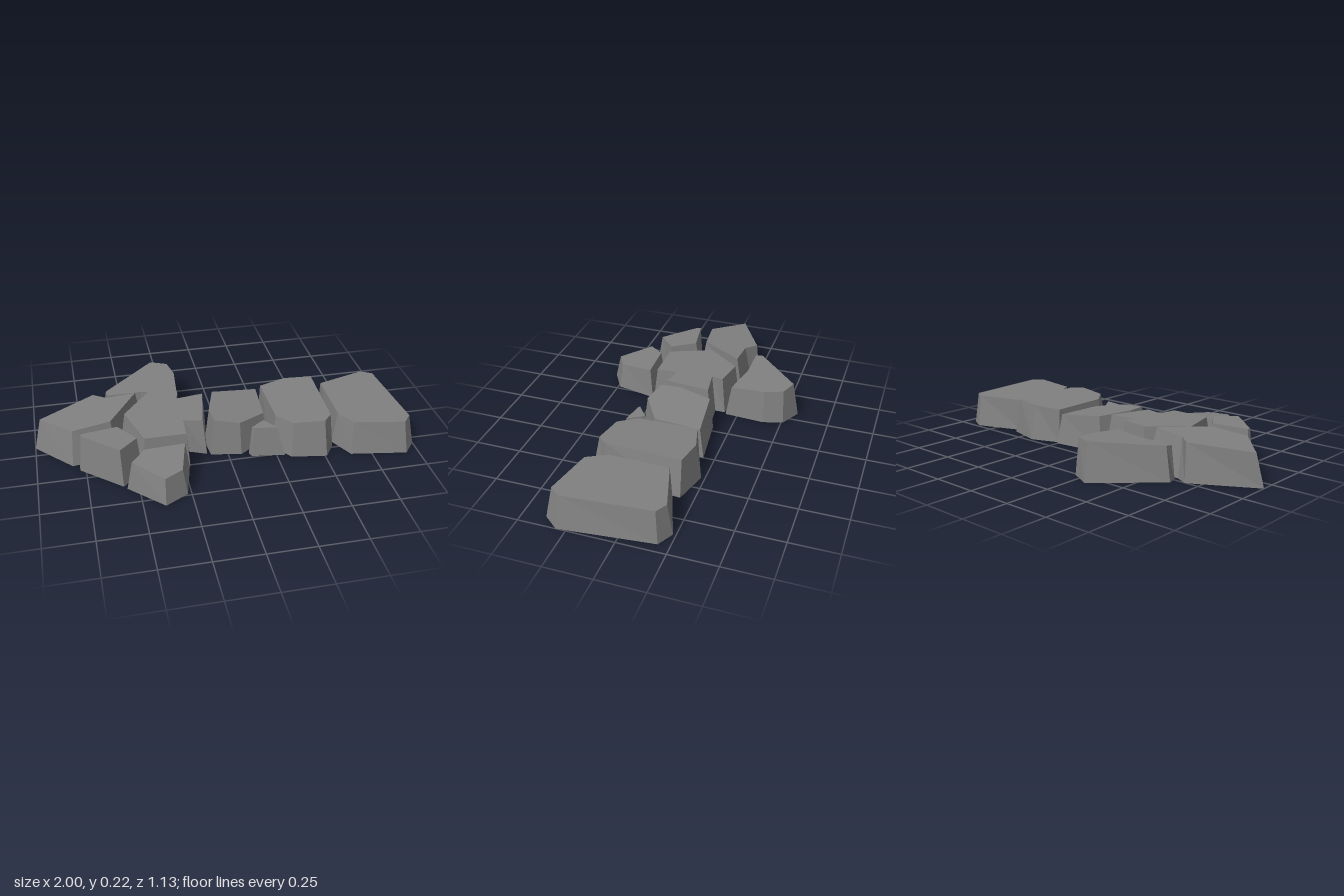
import * as THREE from 'three';

// Each stone: ground outline and smaller top outline as [x, z], clockwise from above,
// and a tilted top plane y = h[0] + h[1] * x + h[2] * z.
const STONES = {
  endStone: {
    base: [[0.6, -0.14], [0.865, -0.235], [0.95, -0.19], [1, 0.3], [0.935, 0.38], [0.64, 0.33], [0.575, 0.2]],
    top: [[0.605, -0.13], [0.87, -0.21], [0.93, -0.175], [0.965, 0.29], [0.92, 0.345], [0.655, 0.295], [0.6, 0.19]],
    h: [0.176, 0, 0],
  },
  wideStone: {
    base: [[0.255, -0.17], [0.415, -0.23], [0.6, -0.18], [0.565, 0.24], [0.51, 0.32], [0.325, 0.29], [0.245, 0.18]],
    top: [[0.26, -0.16], [0.41, -0.2], [0.56, -0.175], [0.545, 0.23], [0.5, 0.28], [0.335, 0.255], [0.265, 0.16]],
    h: [0.17, 0.055, 0],
  },
  middleStone: {
    base: [[-0.04, -0.155], [0.25, -0.19], [0.235, 0.1], [0.07, 0.21], [-0.09, 0.18], [-0.1, 0.05]],
    top: [[-0.02, -0.14], [0.235, -0.165], [0.215, 0.09], [0.065, 0.185], [-0.065, 0.155], [-0.075, 0.05]],
    h: [0.189, -0.11, 0],
  },
  chipStone: {
    base: [[0.11, 0.21], [0.205, 0.135], [0.295, 0.265], [0.12, 0.24]],
    top: [[0.125, 0.205], [0.2, 0.15], [0.255, 0.235], [0.13, 0.215]],
    h: [0.16, 0, 0],
  },
  hubStone: {
    base: [[-0.38, -0.21], [-0.2, -0.175], [-0.2, -0.12], [-0.06, -0.135], [-0.11, 0.17], [-0.2, 0.13],
      [-0.215, 0.255], [-0.465, 0.26], [-0.55, 0]],
    top: [[-0.365, -0.185], [-0.21, -0.155], [-0.225, -0.09], [-0.08, -0.11], [-0.125, 0.14], [-0.225, 0.115],
      [-0.23, 0.235], [-0.445, 0.235], [-0.52, 0]],
    h: [0.2, 0, -0.05],
  },
  tipStone: {
    base: [[-1, -0.07], [-0.675, -0.255], [-0.61, -0.22], [-0.405, -0.22], [-0.575, 0.09], [-0.815, 0.135]],
    top: [[-0.96, -0.085], [-0.665, -0.235], [-0.6, -0.18], [-0.44, -0.175], [-0.6, 0.06], [-0.8, 0.085]],
    h: [0.255, 0.088, 0],
  },
  backStone: {
    base: [[-0.62, -0.295], [-0.315, -0.57], [-0.2, -0.51], [-0.17, -0.4], [-0.185, -0.185], [-0.405, -0.225], [-0.6, -0.235]],
    top: [[-0.59, -0.29], [-0.305, -0.535], [-0.215, -0.5], [-0.19, -0.4], [-0.205, -0.21], [-0.4, -0.25], [-0.59, -0.25]],
    h: [0.153, 0, -0.08],
  },
  smallSideStone: {
    base: [[-0.78, 0.14], [-0.555, 0.08], [-0.465, 0.25], [-0.575, 0.365], [-0.78, 0.18]],
    top: [[-0.76, 0.145], [-0.57, 0.115], [-0.485, 0.24], [-0.58, 0.33], [-0.76, 0.165]],
    h: [0.2, 0, 0],
  },
  frontStone: {
    base: [[-0.47, 0.275], [-0.22, 0.265], [-0.27, 0.49], [-0.39, 0.56], [-0.56, 0.385]],
    top: [[-0.455, 0.295], [-0.245, 0.285], [-0.29, 0.475], [-0.385, 0.525], [-0.53, 0.38]],
    h: [0.199, 0, -0.12],
  },
};

// Joins the two outlines with side walls and closes both ends
function stoneGeometry({ base, top, h }) {
  const low = base.map(([x, z]) => [x, 0, z]);
  const high = top.map(([x, z]) => [x, h[0] + h[1] * x + h[2] * z, z]);
  const pos = [];
  const tri = (a, b, c) => pos.push(...a, ...b, ...c);

  low.forEach((p, i) => {
    const j = (i + 1) % low.length;
    tri(p, high[i], high[j]);
    tri(p, high[j], low[j]);
  });

  const cap = (ring, up) => {
    const flat = ring.map(([x, , z]) => new THREE.Vector2(x, z));
    for (const [i, j, k] of THREE.ShapeUtils.triangulateShape(flat, [])) {
      const facesUp = THREE.ShapeUtils.area([flat[i], flat[j], flat[k]]) < 0;
      if (facesUp === up) tri(ring[i], ring[j], ring[k]);
      else tri(ring[i], ring[k], ring[j]);
    }
  };
  cap(high, true);
  cap(low, false);

  const geometry = new THREE.BufferGeometry();
  geometry.setAttribute('position', new THREE.Float32BufferAttribute(pos, 3));
  geometry.computeVertexNormals();
  return geometry;
}

export function createModel() {
  const group = new THREE.Group();
  group.name = 'steppingStones';
  const stone = new THREE.MeshStandardMaterial({ color: 0x808080, flatShading: true });
  stone.name = 'grey stone';
  for (const [name, spec] of Object.entries(STONES)) {
    const mesh = new THREE.Mesh(stoneGeometry(spec), stone);
    mesh.name = name;
    group.add(mesh);
  }
  return group;
}
